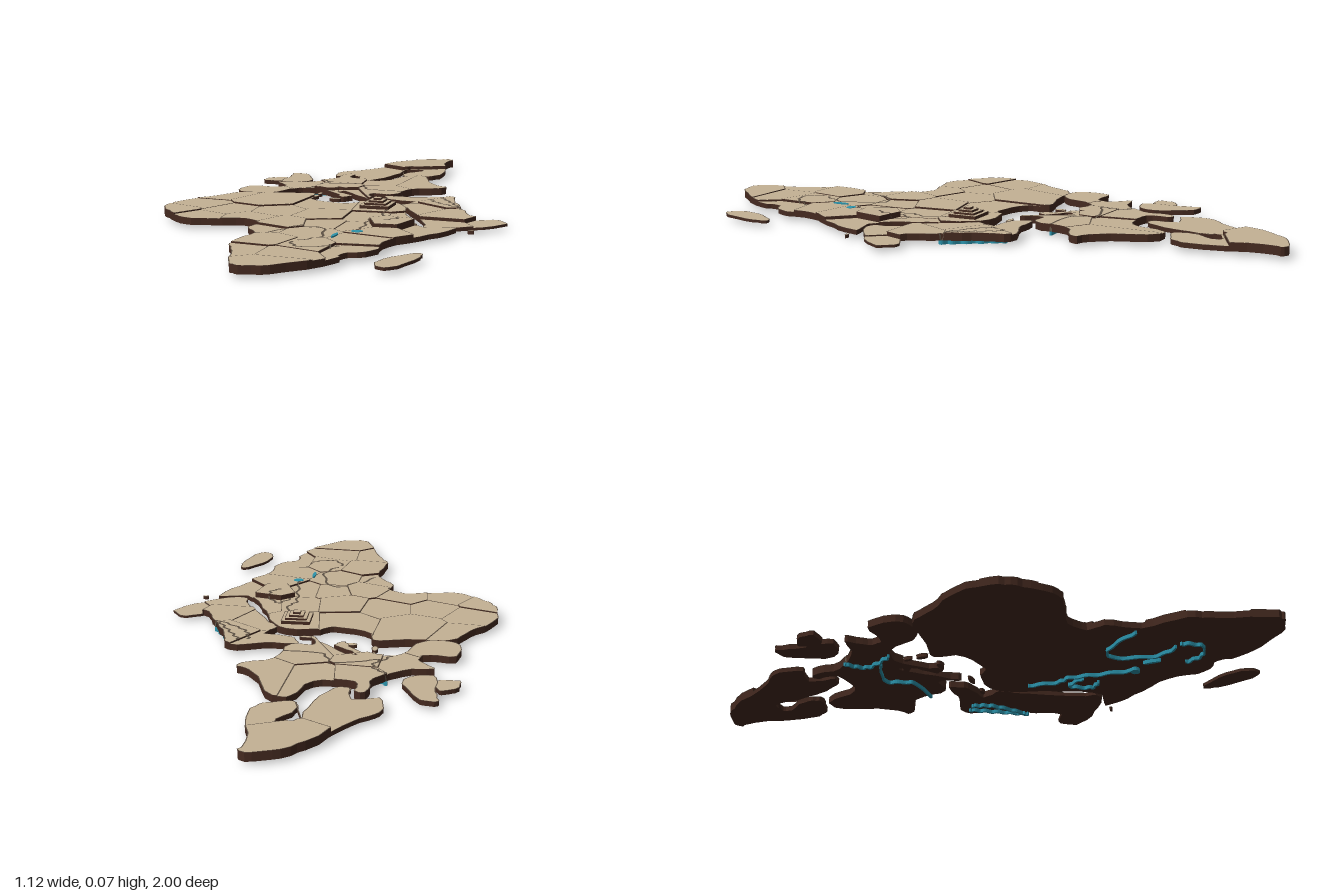
import * as THREE from 'three';

const mat = (name, color, side = THREE.FrontSide) => {
  const m = new THREE.MeshStandardMaterial({ color, side });
  m.name = name;
  return m;
};

// Lands: coast as x, z pairs in hundredths, and region seeds as x, z (hundredths), top height (thousandths)
const LANDS = {
  africa: {
    coast: [-41, -8, -30, -9, -16, -11, -15, -4, -2, 1, 4, -3, 16, -2, 23, 14, 29, 27, 33, 30.5, 42, 29, 37, 41, 28, 55, 27, 68,
      20, 74, 20, 80, 7, 97, -1, 99.5, -4, 98, -10, 81, -14, 72, -12, 57, -18, 47, -17, 41, -23, 37, -37, 40, -42, 40,
      -51, 32, -55, 26, -55, 13, -47, 1.5],
    seeds: [-45, -2, 36, -28, 4, 38, -47, 17, 34, -51, 28, 38, -34, 23, 33, -39, 35, 34, -23, 34, 36, -18, 22, 33, -5, 6, 32,
      -2, 24, 37, 12, 4, 36, 13, 23, 31, 25, 21, 30, 22, 33, 48, 33, 36, 27, 13, 37, 31, 3, 37, 33, -9, 40, 38, -13, 50, 31,
      2, 51, 34, 23, 45, 37, 20, 57, 34, -6, 65, 38, 8, 68, 36, 21, 69, 28, -8, 80, 33, 4, 80, 34, 3, 93, 37],
  },
  middleEast: {
    coast: [17, -1, 20, -8, 11, -10, 8, -16, 16, -16, 30, -19, 33, -10, 38, 1, 44, 12, 50, 9, 55, 14, 46, 24, 33, 29.5, 31, 23, 20, 3],
    seeds: [18, -15, 33, 31, -7, 38, 38, 10, 34, 24, 3, 32, 37, 25, 24, 51, 15, 20],
  },
  europe: {
    coast: [-43, -22, -33, -22, -32, -27, -37, -33, -30, -34, -19, -44, -18, -54, -15, -55, -14, -47, -1, -47, 4, -59, 9.5, -59.5,
      18, -42, 24, -37, 13, -30, 10, -18, 2, -17, 4, -10, -3, -17, -12, -26, -10, -20, -4, -15, -7, -12, -9, -16, -18, -24,
      -26, -22, -32, -10, -43, -10],
    seeds: [-35, -16, 35, -26, -30, 34, -13, -40, 38, -1, -41, 33, 14, -40, 36, -14, -29, 40, -10, -19, 30, 4, -26, 37],
  },
  scandinavia: {
    coast: [-22, -56, -23, -66, -16, -73, -5, -91, 3, -98, 12, -99.5, 11, -93, 14.5, -70, 11, -64, 2, -62, 1, -67, 6, -77,
      0, -78, -2, -65, -8, -50, -12, -49, -14, -58],
    seeds: [-10, -66, 26, 10, -72, 28, 3, -88, 40],
  },
  britain: { coast: [-39, -57, -34, -56, -28, -41, -37, -37, -38, -50], seeds: [0, 0, 28] },
  ireland: { coast: [-45, -40, -44, -46, -39, -48, -38, -41], seeds: [0, 0, 26] },
  southIsland: { coast: [40, 64, 41, 69, 36, 84, 32, 83, 32, 74], seeds: [0, 0, 21] },
};

// Small islands: centre x, z and half sizes in hundredths
const ISLETS = [[-9, -12, 2, 1], [-17, -15, 1, 2], [-17, -20, 0.7, 1.5], [6, -7, 2.5, 0.7], [16, -7, 1.5, 0.7], [-12, -50, 1, 1.5], [47, 29.5, 1, 0.4]];

// River courses as x, z pairs in hundredths
const RIVERS = {
  longRiver: [15, 10, 16, 20, 14, 25, 15, 35, 16, 46],
  highlandRiver: [16, 29, 20, 23, 24, 29, 21, 33],
  forestRiver: [-11, 55, -3, 44, 4, 43, 8, 56, 4, 64],
  southRiver: [2, 66, 6, 72, 13, 70, 16, 64],
  plainRiver: [-23, -40, -18, -34, -23, -24],
  alpineRiver: [-19, -29, -6, -33, -1, -25, 12, -24],
  westTwinRiver: [24, -14, 27, -7, 37, 1],
  eastTwinRiver: [27, -16, 38, 2],
};

const toPoints = flat => Array.from({ length: flat.length / 2 }, (_, i) => new THREE.Vector2(flat[2 * i] / 100, flat[2 * i + 1] / 100));

// Closed coast curve with a little roughness
function coastline(flat) {
  const knots = toPoints(flat).map(p => new THREE.Vector3(p.x, 0, p.y));
  return new THREE.CatmullRomCurve3(knots, true, 'centripetal').getPoints(knots.length * 4).slice(1)
    .map((p, i) => new THREE.Vector2(p.x + 0.003 * Math.sin(i * 2.3), p.z + 0.003 * Math.sin(i * 1.7)));
}

const oval = (x, z, rx, rz) => Array.from({ length: 12 }, (_, i) => {
  const a = i * Math.PI / 6;
  return new THREE.Vector2((x + rx * Math.cos(a)) / 100, (z + rz * Math.sin(a)) / 100);
});

// Part of an outline nearer to seed a than to seed b
function nearer(outline, a, b) {
  const normal = b.clone().sub(a), middle = a.clone().add(b).multiplyScalar(0.5);
  const side = p => p.clone().sub(middle).dot(normal);
  return outline.flatMap((p, i) => {
    const q = outline[(i + 1) % outline.length], s = side(p), t = side(q);
    const kept = s <= 0 ? [p] : [];
    if (s * t < 0) kept.push(p.clone().lerp(q, s / (s - t)));
    return kept;
  });
}

const inside = (p, poly) => poly.reduce((hit, a, i) => {
  const b = poly[(i + 1) % poly.length];
  return (a.y > p.y) !== (b.y > p.y) && p.x < a.x + (b.x - a.x) * (p.y - a.y) / (b.y - a.y) ? !hit : hit;
}, false);

// Flat slab with a separate material for its top
function slab(points, bottom, top, sideMat, topMat) {
  const shape = new THREE.Shape(points.map(p => new THREE.Vector2(p.x, -p.y)));
  const g = new THREE.ExtrudeGeometry(shape, { depth: top - bottom, bevelEnabled: false });
  const caps = g.groups[0].count, total = g.attributes.position.count;
  g.clearGroups();
  g.addGroup(0, caps / 2, 0);
  g.addGroup(caps / 2, caps / 2, 1);
  g.addGroup(caps, total - caps, 0);
  g.rotateX(-Math.PI / 2).translate(0, bottom, 0);
  return new THREE.Mesh(g, [sideMat, topMat]);
}

// Left and right edges of a line of given width
function edges(points, width, closed) {
  const n = points.length;
  return points.map((p, i) => {
    const a = points[closed ? (i + n - 1) % n : Math.max(i - 1, 0)];
    const b = points[closed ? (i + 1) % n : Math.min(i + 1, n - 1)];
    const d = b.clone().sub(a).normalize().multiplyScalar(width / 2);
    return [new THREE.Vector2(p.x - d.y, p.y + d.x), new THREE.Vector2(p.x + d.y, p.y - d.x)];
  });
}

// Thin flat strip along a line, at a height given by a rule
function strip(points, width, heightOf, material, closed) {
  const pos = [], index = [], n = points.length;
  edges(points, width, closed).forEach(([l, r], i) => {
    const y = heightOf(points[i]), a = 2 * i, b = 2 * ((i + 1) % n);
    pos.push(l.x, y, l.y, r.x, y, r.y);
    if (closed || i < n - 1) index.push(a, b, a + 1, a + 1, b, b + 1);
  });
  const g = new THREE.BufferGeometry();
  g.setAttribute('position', new THREE.Float32BufferAttribute(pos, 3));
  g.setIndex(index);
  g.computeVertexNormals();
  return new THREE.Mesh(g, material);
}

export function createModel() {
  const model = new THREE.Group();
  const sand = mat('sand top', 0xc4b295);
  const earth = mat('dark earth', 0x452a20);
  const groove = mat('groove line', 0x5e5245, THREE.DoubleSide);
  const water = mat('water', 0x2b93ab);
  const add = (mesh, name) => { mesh.name = name; model.add(mesh); };

  // A sandy plate outlined by a fine line
  const plate = (points, bottom, top, name) => {
    add(slab(points, bottom, top, earth, sand), name);
    add(strip(points, 0.003, () => top + 0.0004, groove, true), name + 'Border');
  };

  // Lands, divided into regions of different heights
  const regions = [];
  for (const [name, { coast, seeds }] of Object.entries(LANDS)) {
    const outline = coastline(coast), centres = [];
    for (let i = 0; i < seeds.length; i += 3) centres.push(new THREE.Vector2(seeds[i] / 100, seeds[i + 1] / 100));
    centres.forEach((a, i) => {
      const points = centres.filter(b => b !== a).reduce((part, b) => nearer(part, a, b), outline);
      const top = seeds[3 * i + 2] / 1000;
      regions.push({ points, top });
      plate(points, 0.012, top, name + 'Region' + (i + 1));
    });
  }
  ISLETS.forEach((islet, i) => plate(oval(...islet), 0.012, 0.023, 'islet' + (i + 1)));

  // Rivers: water below the land, grooves on top
  const heightAt = p => Math.max(0.014, ...regions.filter(r => inside(p, r.points)).map(r => r.top));
  for (const [name, flat] of Object.entries(RIVERS)) {
    const line = new THREE.SplineCurve(toPoints(flat)).getPoints(60);
    line.forEach((p, i) => { p.x += 0.005 * Math.sin(i * 0.6); });
    const banks = edges(line, 0.007, false);
    add(slab([...banks.map(b => b[0]), ...banks.map(b => b[1]).reverse()], 0, 0.0125, water, water), name);
    add(strip(line, 0.008, p => heightAt(p) + 0.0008, groove, false), name + 'Groove');
  }

  // Lakes
  add(slab(oval(16.3, 47, 1.8, 1.5), 0, 0.0385, water, water), 'greatLake');
  add(slab(oval(11.5, 54, 0.6, 3), 0, 0.0385, water, water), 'longLake');

  // Stepped pyramid
  for (let i = 0; i < 4; i++) {
    const h = 0.048 - 0.012 * i;
    const square = [[-h, -h], [h, -h], [h, h], [-h, h]].map(([x, z]) => new THREE.Vector2(0.11 + x, 0.055 + z));
    plate(square, 0.03, 0.0465 + 0.0065 * i, 'pyramidStep' + (i + 1));
  }
  return model;
}
